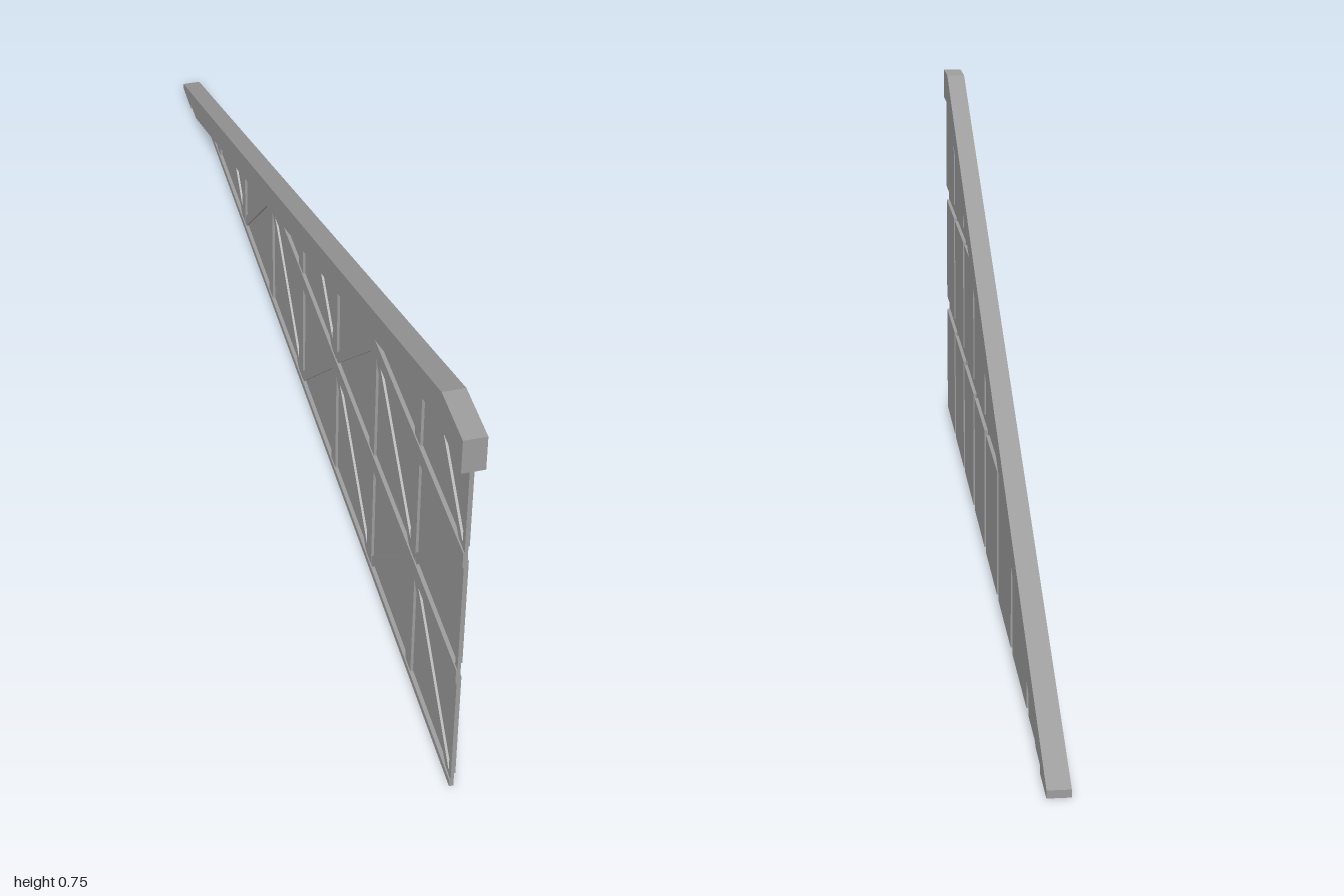
import * as THREE from 'three';

const material = new THREE.MeshStandardMaterial({ color: 0x9d9d9d, flatShading: true });

// underside of the sloping beam
const TOP = 0.69;
const SLOPE = 0.388;
const edgeY = (z) => SLOPE * (z + 1) - 0.04;
const edgeZ = (y) => (y + 0.04) / SLOPE - 1;

// keeps the part of a convex (z, y) outline that lies below the beam
function clip(points) {
  const kept = [];
  points.forEach(([z0, y0], i) => {
    const [z1, y1] = points[(i + 1) % points.length];
    const d0 = edgeY(z0) - y0;
    const d1 = edgeY(z1) - y1;
    if (d0 >= 0) kept.push([z0, y0]);
    if (d0 * d1 < 0) {
      const t = d0 / (d0 - d1);
      kept.push([z0 + t * (z1 - z0), y0 + t * (y1 - y0)]);
    }
  });
  return kept;
}

// flat plate outlined by (z, y) points, reaching from x0 to x1
function plate(name, points, x0, x1) {
  const shape = new THREE.Shape(points.map(([z, y]) => new THREE.Vector2(z, y)));
  const geometry = new THREE.ExtrudeGeometry(shape, { depth: x1 - x0, bevelEnabled: false });
  geometry.rotateY(-Math.PI / 2);
  geometry.translate(x1, 0, 0);
  const mesh = new THREE.Mesh(geometry, material);
  mesh.name = name;
  return mesh;
}

const rectangle = (z0, z1, y0, y1) => [[z0, y0], [z1, y0], [z1, y1], [z0, y1]];

// outline of a slanted bar between two (z, y) points
function slanted([z0, y0], [z1, y1], width) {
  const length = Math.hypot(z1 - z0, y1 - y0);
  const u = (-(y1 - y0) / length) * width / 2;
  const v = ((z1 - z0) / length) * width / 2;
  return [[z0 + u, y0 + v], [z0 - u, y0 - v], [z1 - u, y1 - v], [z1 + u, y1 + v]];
}

export function createModel() {
  const model = new THREE.Group();
  model.name = 'slopedPanel';
  const addGroup = (name) => {
    const group = new THREE.Group();
    group.name = name;
    model.add(group);
    return group;
  };

  const FRONT = 0.97;
  const BACK = -0.92;
  const HALF = 0.0145;
  const posts = Array.from({ length: 8 }, (_, i) => 0.973 - 0.2435 * i);
  const rails = [-0.001, 0.248, 0.49];
  const levels = [...rails, 0.732];

  // sloping beam with a flat head and a small foot
  model.add(plate('slopingBeam', [
    [1, 0.75], [0.9, 0.75], [-1, 0.012], [-1, 0], [BACK, 0], [BACK, 0.013],
    [edgeZ(0.013), 0.013], [edgeZ(TOP), TOP], [1, TOP],
  ], -0.0178, 0.0175));

  // upright posts, cut to the slope
  const uprights = addGroup('posts');
  posts.forEach((z) => {
    uprights.add(plate('post', clip(rectangle(z - HALF, Math.min(FRONT, z + HALF), 0, TOP)), 0.005, 0.01));
  });

  // horizontal rails, the lowest one reaching the foot of the beam
  const horizontals = addGroup('rails');
  horizontals.add(plate('bottomRail', rectangle(BACK, FRONT, 0, 0.013), 0.003, 0.0098));
  rails.slice(1).forEach((y) => {
    horizontals.add(plate('rail', clip(rectangle(BACK, FRONT, y - HALF, y + HALF)), 0.003, 0.0098));
  });

  // covering tiles, with the posts and rails showing in the grooves between them
  const tiles = addGroup('tiles');
  // diagonal braces behind the tiles, alternating bay by bay
  const braces = addGroup('braces');
  rails.forEach((y, j) => {
    const low = y + HALF;
    const high = j < 2 ? rails[j + 1] - HALF : TOP;
    posts.forEach((z, i) => {
      const next = i < 7 ? posts[i + 1] : BACK - HALF;
      const tile = clip(rectangle(next + HALF, z - HALF, low, high));
      if (tile.length > 2) tiles.add(plate('tile', tile, 0.0095, 0.016));

      if (i === 7) return;
      const near = Math.min(z, 0.96);
      const [zLow, zHigh] = (i + j) % 2 === 0 ? [near, next] : [next, near];
      const brace = clip(slanted([zLow, y + 0.006], [zHigh, levels[j + 1]], 0.018));
      const inside = brace.length > 2 && edgeY(zLow) > y + 0.03;
      if (inside) braces.add(plate('brace', brace, 0.0055, 0.0097));
    });
  });

  return model;
}
